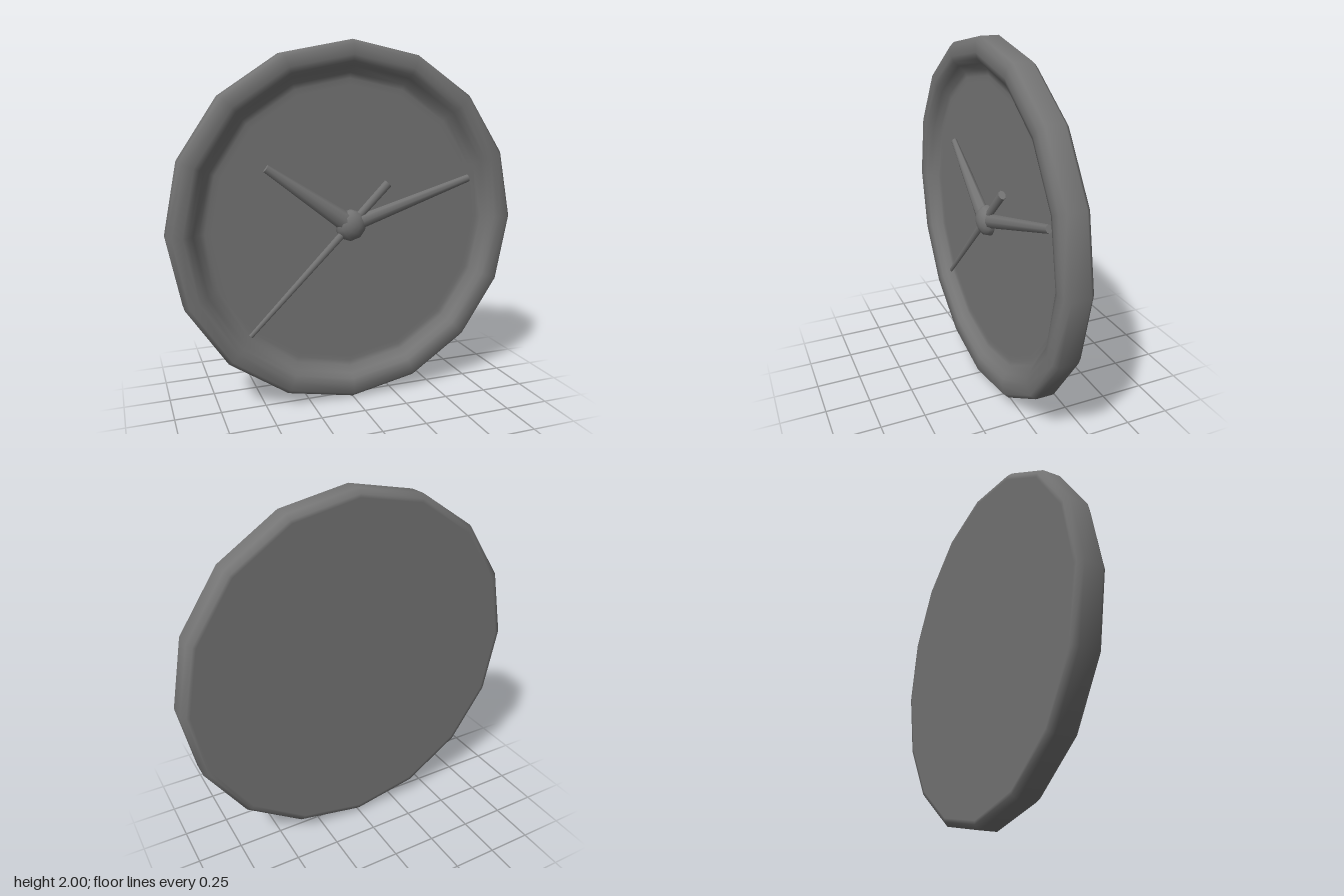
import * as THREE from 'three';

const SIDES = 16;

export function createModel() {
  const group = new THREE.Group();
  const grey = new THREE.MeshStandardMaterial({ color: 0x757575 });

  const add = (name, geometry) => {
    const mesh = new THREE.Mesh(geometry, grey);
    mesh.name = name;
    group.add(mesh);
    return mesh;
  };

  // Case: flat back, bevelled rim and recessed dial in one smooth profile (radius, z)
  const profile = [
    [0, -0.076], [0.955, -0.076], [0.975, -0.076], [1, -0.05],
    [1, 0.05], [0.975, 0.077], [0.92, 0.077], [0.888, 0.068],
    [0.865, 0.042], [0.83, 0.01], [0.8, 0.005], [0.77, 0.005], [0, 0.005],
  ].map(([r, z]) => new THREE.Vector2(r, z));
  add('case', new THREE.LatheGeometry(profile, SIDES).rotateX(Math.PI / 2)).position.y = 1;

  // Tapered hand running between two points given relative to the hub
  const hand = (name, from, to, startRadius, endRadius) => {
    const a = new THREE.Vector2(...from);
    const b = new THREE.Vector2(...to);
    const dir = b.clone().sub(a);
    const mesh = add(name, new THREE.CylinderGeometry(endRadius, startRadius, dir.length(), 8));
    mesh.scale.z = 0.75;
    mesh.rotation.z = dir.angle() - Math.PI / 2;
    mesh.position.set((a.x + b.x) / 2, 1 + (a.y + b.y) / 2, 0.025);
  };
  hand('hourHand', [0, 0], [-0.475, 0.335], 0.056, 0.022);
  hand('minuteHand', [0, 0], [0.73, 0.235], 0.042, 0.022);
  hand('secondHand', [0.22, 0.225], [-0.58, -0.575], 0.026, 0.013);

  // Domed hub
  const hub = add('hub', new THREE.SphereGeometry(0.09, 10, 8)
    .rotateX(Math.PI / 2).rotateZ(Math.PI / 2));
  hub.scale.z = 0.68;
  hub.position.set(0, 1, 0.014);

  return group;
}
